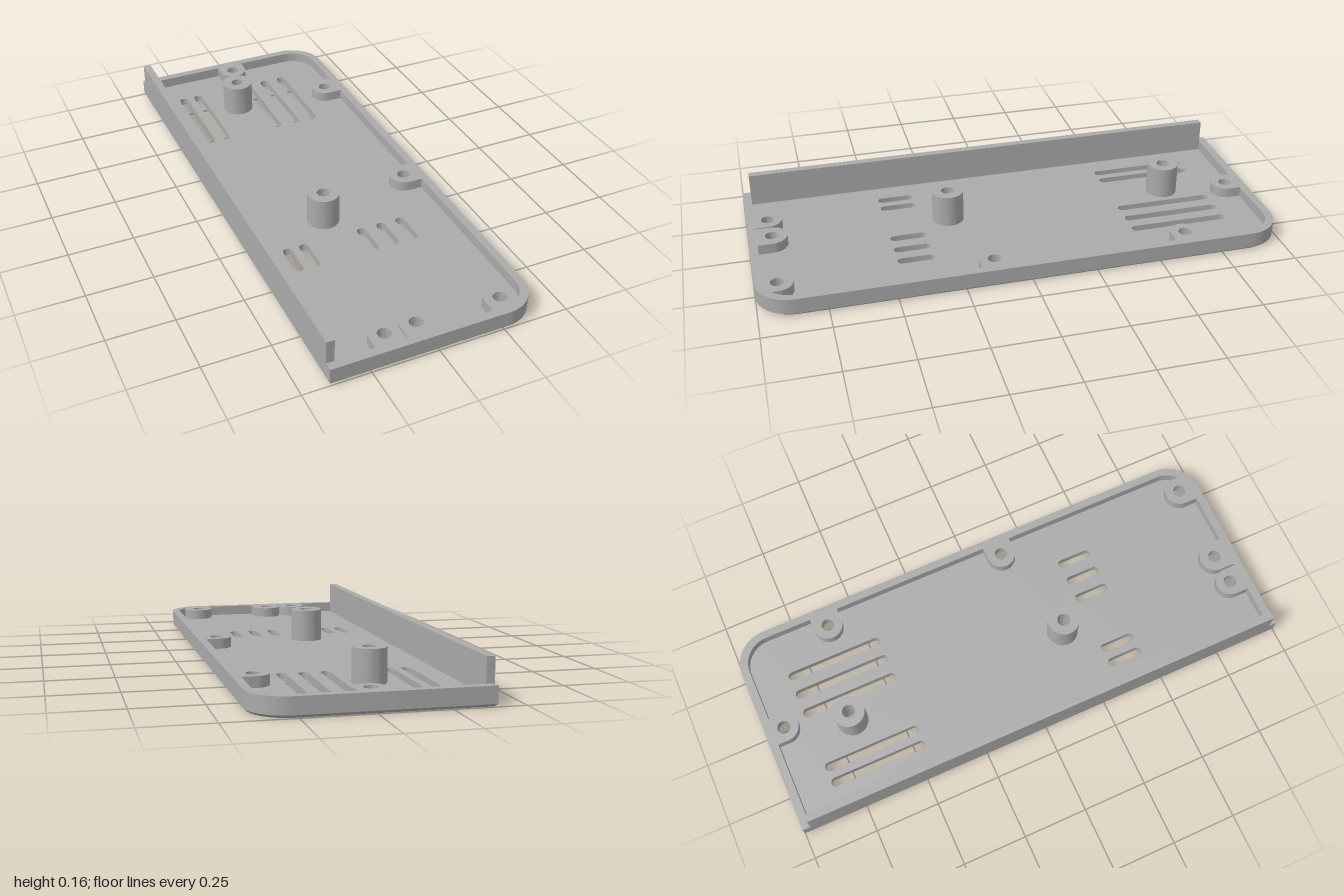
import * as THREE from 'three';
import { toCreasedNormals } from 'three/addons/utils/BufferGeometryUtils.js';

const FLOOR = 0.03, RIM = 0.07, POST = 0.155;

// Half-rounded plan outline: square on the left, round corners on the right (x, z)
function outline(x0, x1, z, r) {
  const s = new THREE.Shape();
  s.moveTo(x0, -z);
  s.lineTo(x1 - r, -z);
  s.absarc(x1 - r, -z + r, r, -Math.PI / 2, 0, false);
  s.lineTo(x1, z - r);
  s.absarc(x1 - r, z - r, r, 0, Math.PI / 2, false);
  s.lineTo(x0, z);
  s.closePath();
  return s;
}

function circle(x, z, r) {
  return new THREE.Path().absarc(x, z, r, 0, Math.PI * 2, true);
}

function slot(x, z0, z1, r) {
  const p = new THREE.Path();
  p.absarc(x, z1 - r, r, 0, Math.PI, false);
  p.absarc(x, z0 + r, r, Math.PI, Math.PI * 2, false);
  p.closePath();
  return p;
}

// Raise a plan shape from y0 to y1
function raise(shape, y0, y1, steps = 1) {
  const g = new THREE.ExtrudeGeometry(shape, { depth: y1 - y0, steps, bevelEnabled: false, curveSegments: 20 });
  g.rotateX(Math.PI / 2);
  g.translate(0, y1, 0);
  return g;
}

export function createModel() {
  const model = new THREE.Group();
  model.name = 'enclosureHalf';
  const grey = new THREE.MeshStandardMaterial({ color: 0xaaaaaa });
  grey.name = 'grey plastic';

  const add = (name, geometry) => {
    const mesh = new THREE.Mesh(toCreasedNormals(geometry, 0.5), grey);
    mesh.name = name;
    model.add(mesh);
  };

  // x, z, radius, direction towards the wall (dx, dz), reach
  const bosses = [
    [0, -0.925, 0.056, 0, -1, 0.046],
    [0.32, -0.62, 0.057, 1, 0, 0.052],
    [0.32, 0.13, 0.057, 1, 0, 0.052],
    [-0.167, 0.918, 0.056, 0, 1, 0.05],
    [-0.045, 0.912, 0.06, 0, 1, 0.056],
    [0.276, 0.918, 0.059, 0, 1, 0.05],
  ];
  const posts = [[-0.07, -0.675], [-0.07, 0.222]];

  // Floor with vent slots and screw recesses; its lower outer edge is chamfered
  const floor = outline(-0.4, 0.4, 1, 0.135);
  for (const x of [-0.27, -0.205, 0.03, 0.112, 0.192]) {
    floor.holes.push(slot(x, -0.84, -0.455, 0.0175), slot(x, 0.33, 0.47, 0.0175));
  }
  for (const [x, z] of [...bosses, ...posts]) floor.holes.push(circle(x, z, 0.039));
  const floorGeo = raise(floor, 0, FLOOR, 3);
  const p = floorGeo.attributes.position;
  for (let i = 0; i < p.count; i++) {
    const x = p.getX(i), z = p.getZ(i);
    if (p.getY(i) < 0.001 && (Math.abs(x) > 0.361 || Math.abs(z) > 0.9585)) {
      p.setX(i, x * 0.975);
      p.setZ(i, z * 0.99);
    }
  }
  add('floor', floorGeo);

  // Low rim around the floor
  const rim = outline(-0.4, 0.4, 1, 0.135);
  rim.holes.push(outline(-0.37, 0.37, 0.968, 0.105));
  add('rim', raise(rim, FLOOR, RIM));

  // Tall wall on the straight long side
  const wall = new THREE.BoxGeometry(0.03, 0.16 - RIM, 1.936);
  wall.translate(-0.385, (0.16 + RIM) / 2, 0);
  add('tallWall', wall);

  // U-shaped screw bosses joined to the rim
  bosses.forEach(([x, z, r, dx, dz, reach], i) => {
    const a = Math.atan2(dz, dx);
    const s = new THREE.Shape();
    s.absarc(x, z, r, a + Math.PI / 2, a + Math.PI * 1.5, false);
    s.lineTo(x + dx * reach + dz * r, z + dz * reach - dx * r);
    s.lineTo(x + dx * reach - dz * r, z + dz * reach + dx * r);
    s.closePath();
    s.holes.push(circle(x, z, 0.025));
    add('screwBoss' + (i + 1), raise(s, FLOOR, RIM));
  });

  // Round hollow posts
  posts.forEach(([x, z], i) => {
    const s = new THREE.Shape();
    s.absarc(x, z, 0.061, 0, Math.PI * 2, false);
    s.holes.push(circle(x, z, 0.025));
    add('post' + (i + 1), raise(s, FLOOR, POST));
  });

  return model;
}
